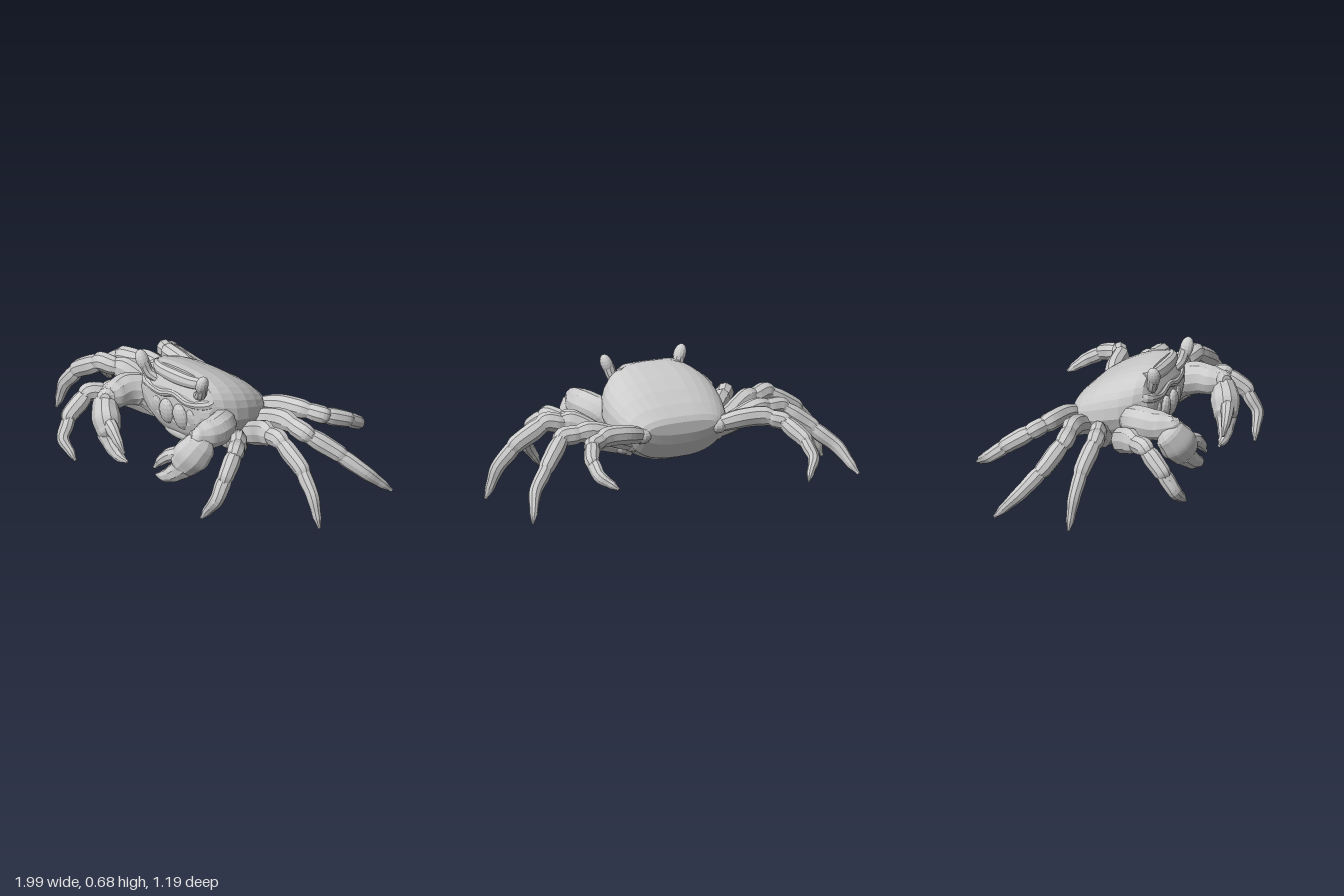
import * as THREE from 'three';

const shell = new THREE.MeshStandardMaterial({ color: 0xcccccc, flatShading: true });

// Joins rings of points into one closed skin.
function skin(rings) {
  const n = rings[0].length, pos = [], idx = [];
  rings.forEach(r => r.forEach(p => pos.push(p.x, p.y, p.z)));
  for (let i = 0; i < rings.length - 1; i++) {
    for (let j = 0; j < n; j++) {
      const a = i * n + j, b = i * n + (j + 1) % n;
      idx.push(a, b, a + n, b, b + n, a + n);
    }
  }
  [0, rings.length - 1].forEach((ri, end) => {
    const c = rings[ri].reduce((s, p) => s.add(p), new THREE.Vector3()).divideScalar(n);
    const k = pos.length / 3;
    pos.push(c.x, c.y, c.z);
    for (let j = 0; j < n; j++) {
      const a = ri * n + j, b = ri * n + (j + 1) % n;
      if (end) idx.push(k, a, b); else idx.push(k, b, a);
    }
  });
  const g = new THREE.BufferGeometry();
  g.setAttribute('position', new THREE.Float32BufferAttribute(pos, 3));
  g.setIndex(idx);
  g.computeVertexNormals();
  return g;
}

function add(parent, name, geo) {
  const m = new THREE.Mesh(geo, shell);
  m.name = name;
  parent.add(m);
  return m;
}

// Tapered limb through [x, y, z, radius] points; flat narrows it sideways.
function limb(parent, name, pts, flat = 0.8, steps = 8, sides = 9) {
  const v = pts.map(p => new THREE.Vector3(p[0], p[1], p[2]));
  const curve = new THREE.CatmullRomCurve3(v, false, 'centripetal');
  const dir = v[v.length - 1].clone().sub(v[0]);
  const ref = new THREE.Vector3(-dir.z, 0, dir.x).normalize();
  const rings = [], total = (pts.length - 1) * steps;
  for (let i = 0; i <= total; i++) {
    const t = i / total, f = t * (pts.length - 1), k = Math.min(Math.floor(f), pts.length - 2);
    const s = f - k, r = THREE.MathUtils.lerp(pts[k][3], pts[k + 1][3], s * s * (3 - 2 * s));
    const c = curve.getPoint(t), tan = curve.getTangent(t);
    const up = new THREE.Vector3().crossVectors(tan, ref).normalize();
    const side = new THREE.Vector3().crossVectors(up, tan);
    rings.push(Array.from({ length: sides }, (_, j) => {
      const a = j / sides * Math.PI * 2;
      return c.clone().addScaledVector(side, Math.cos(a) * r * flat).addScaledVector(up, -Math.sin(a) * r);
    }));
  }
  // Rings must turn counterclockwise about the direction of travel.
  const e1 = rings[0][0].clone().sub(v[0]), e2 = rings[0][2].clone().sub(v[0]);
  if (e1.cross(e2).dot(curve.getTangent(0)) < 0) rings.forEach(r => r.reverse());
  return add(parent, name, skin(rings));
}

function blob(parent, name, p, s, rot = [0, 0, 0]) {
  const m = add(parent, name, new THREE.SphereGeometry(1, 12, 9));
  m.position.set(...p);
  m.scale.set(...s);
  m.rotation.set(...rot);
  return m;
}

export function createModel() {
  const crab = new THREE.Group();
  crab.name = 'crab';

  // Body: z, bottom, top, half width
  const sections = [
    [-0.18, 0.34, 0.405, 0.2], [-0.165, 0.285, 0.435, 0.245], [-0.11, 0.195, 0.488, 0.298],
    [-0.03, 0.172, 0.545, 0.322], [0.05, 0.17, 0.588, 0.332], [0.13, 0.175, 0.62, 0.325],
    [0.2, 0.2, 0.638, 0.298], [0.24, 0.235, 0.638, 0.265], [0.265, 0.28, 0.56, 0.25], [0.283, 0.33, 0.52, 0.2]
  ];
  const N = 32;
  const pw = v => Math.sign(v) * Math.pow(Math.abs(v), 0.72);
  add(crab, 'body', skin(sections.map(([z, lo, hi, w]) => Array.from({ length: N }, (_, j) => {
    const a = j / N * Math.PI * 2, y = pw(Math.sin(a));
    const taper = 1 + 0.22 * Math.min(0, y);
    return new THREE.Vector3(w * taper * pw(Math.cos(a)), (lo + hi) / 2 + (hi - lo) / 2 * y, z);
  }))));

  // Brow plate, cheek ridge and chin
  limb(crab, 'browPlate', [[-0.18, 0.6, 0.22, 0.025], [-0.13, 0.597, 0.25, 0.036], [0, 0.592, 0.258, 0.042],
    [0.13, 0.597, 0.25, 0.036], [0.18, 0.6, 0.22, 0.025]], 0.8, 4);
  limb(crab, 'cheekRidge', [[-0.25, 0.52, 0.17, 0.02], [-0.225, 0.5, 0.25, 0.03], [-0.1, 0.475, 0.278, 0.022],
    [0, 0.5, 0.28, 0.02], [0.1, 0.475, 0.278, 0.022], [0.225, 0.5, 0.25, 0.03], [0.25, 0.52, 0.17, 0.02]], 0.9, 4);
  blob(crab, 'chin', [0, 0.245, 0.22], [0.12, 0.04, 0.04]);

  // Folded tail plates under the body
  for (let i = 0; i < 5; i++) {
    blob(crab, 'tailPlate', [0, 0.178 + (i === 4 ? 0.025 : 0), 0.12 - i * 0.048], [0.06 + i * 0.018, 0.01, 0.03]);
  }

  // Eyes, mouth parts and claws, mirrored
  for (const s of [1, -1]) {
    const M = pts => pts.map(([x, y, z, r]) => [x * s, y, z, r]);
    const side = s > 0 ? 'left' : 'right';

    const eye = new THREE.Group();
    eye.name = side + 'Eye';
    crab.add(eye);
    limb(eye, 'eyeStalk', M([[0.15, 0.53, 0.25, 0.028], [0.19, 0.56, 0.272, 0.03], [0.21, 0.62, 0.288, 0.032]]), 1, 4);
    blob(eye, 'eyeball', [0.217 * s, 0.632, 0.293], [0.033, 0.058, 0.037], [0.1, 0, -0.35 * s]);

    blob(crab, 'mouthPlate', [0.05 * s, 0.375, 0.275], [0.052, 0.08, 0.036], [0.2, 0, 0.08 * s]);
    blob(crab, 'mouthSide', [0.13 * s, 0.36, 0.255], [0.045, 0.09, 0.03], [0.3, 0, 0.15 * s]);

    const claw = new THREE.Group();
    claw.name = side + 'Claw';
    crab.add(claw);
    limb(claw, 'clawArm', M([[0.2, 0.3, 0.17, 0.06], [0.285, 0.385, 0.21, 0.088], [0.335, 0.41, 0.29, 0.09],
      [0.338, 0.412, 0.38, 0.083], [0.33, 0.425, 0.455, 0.056], [0.31, 0.435, 0.485, 0.03]]), 0.9, 5, 11);
    limb(claw, 'palm', M([[0.365, 0.425, 0.4, 0.035], [0.345, 0.375, 0.445, 0.092], [0.31, 0.315, 0.475, 0.105],
      [0.27, 0.26, 0.495, 0.09], [0.235, 0.225, 0.505, 0.045]]), 0.75, 5, 11);
    limb(claw, 'fixedFinger', M([[0.28, 0.25, 0.495, 0.07], [0.225, 0.195, 0.515, 0.052], [0.165, 0.16, 0.53, 0.034],
      [0.105, 0.145, 0.53, 0.01]]), 0.85, 4);
    limb(claw, 'movingFinger', M([[0.27, 0.32, 0.505, 0.05], [0.215, 0.305, 0.53, 0.042], [0.165, 0.265, 0.545, 0.032],
      [0.11, 0.2, 0.55, 0.01]]), 0.85, 4);
  }

  // Walking legs: hip, thigh, knee, shin, ankle, mid toe and tip centres
  const legs = {
    leftLeg1: [[0.2, 0.22, 0.09], [0.34, 0.285, 0.15], [0.45, 0.35, 0.26], [0.53, 0.37, 0.37], [0.567, 0.285, 0.48], [0.565, 0.17, 0.55], [0.475, 0.035, 0.575]],
    leftLeg2: [[0.2, 0.23, 0.02], [0.38, 0.31, 0.05], [0.52, 0.385, 0.118], [0.65, 0.405, 0.15], [0.82, 0.3, 0.165], [0.92, 0.18, 0.185], [0.985, 0.01, 0.2]],
    leftLeg3: [[0.2, 0.27, -0.06], [0.35, 0.34, -0.08], [0.5, 0.385, -0.06], [0.65, 0.37, -0.045], [0.79, 0.26, -0.15], [0.91, 0.15, -0.24], [0.985, 0.02, -0.365]],
    leftLeg4: [[0.18, 0.34, -0.13], [0.34, 0.38, -0.185], [0.47, 0.39, -0.205], [0.58, 0.37, -0.26], [0.64, 0.32, -0.38], [0.64, 0.26, -0.48], [0.57, 0.205, -0.56]],
    rightLeg1: [[-0.2, 0.22, 0.09], [-0.34, 0.285, 0.15], [-0.45, 0.345, 0.26], [-0.53, 0.355, 0.38], [-0.56, 0.25, 0.49], [-0.545, 0.14, 0.56], [-0.44, 0.05, 0.575]],
    rightLeg2: [[-0.2, 0.23, 0.03], [-0.38, 0.31, 0.055], [-0.52, 0.385, 0.1], [-0.65, 0.405, 0.143], [-0.82, 0.3, 0.14], [-0.92, 0.18, 0.14], [-0.985, 0.01, 0.135]],
    rightLeg3: [[-0.2, 0.27, -0.06], [-0.35, 0.34, -0.08], [-0.5, 0.385, -0.06], [-0.65, 0.37, -0.035], [-0.8, 0.26, -0.09], [-0.92, 0.15, -0.175], [-0.99, 0.02, -0.295]],
    rightLeg4: [[-0.18, 0.34, -0.13], [-0.34, 0.38, -0.175], [-0.47, 0.385, -0.2], [-0.56, 0.36, -0.255], [-0.625, 0.28, -0.38], [-0.63, 0.2, -0.48], [-0.545, 0.115, -0.59]]
  };
  for (const [name, p] of Object.entries(legs)) {
    const leg = new THREE.Group();
    leg.name = name;
    crab.add(leg);
    const front = /[12]$/.test(name);
    const k = name.endsWith('4') ? 0.92 : 1;
    const at = (i, j, t) => p[i].map((c, q) => c + (p[j][q] - c) * t);
    const P = (c, r) => [...c, r * k];
    blob(leg, 'hip', at(0, 1, 0.3), [0.055, 0.045, 0.05]);
    // Front thighs are deeper and thinner than rear ones
    const deep = front ? 1.2 : 1;
    limb(leg, 'thigh', [P(p[0], 0.042), P(p[1], 0.058 * deep), P(p[2], 0.06 * deep), P(at(2, 3, 0.55), 0.046)], front ? 0.68 : 0.88, 5);
    limb(leg, 'knee', [P(at(2, 3, 0.2), 0.042), P(at(2, 3, 0.6), 0.054), P(p[3], 0.055), P(at(3, 4, 0.25), 0.042)], 0.9, 4);
    limb(leg, 'shin', [P(p[3], 0.044), P(at(3, 4, 0.45), 0.054), P(p[4], 0.05), P(at(4, 5, 0.3), 0.038)], 0.88, 5);
    limb(leg, 'toe', [P(p[4], 0.04), P(at(4, 5, 0.4), 0.045), P(p[5], 0.04), P(at(5, 6, 0.6), 0.028), P(p[6], 0.01)], 0.85, 5);
  }
  return crab;
}
